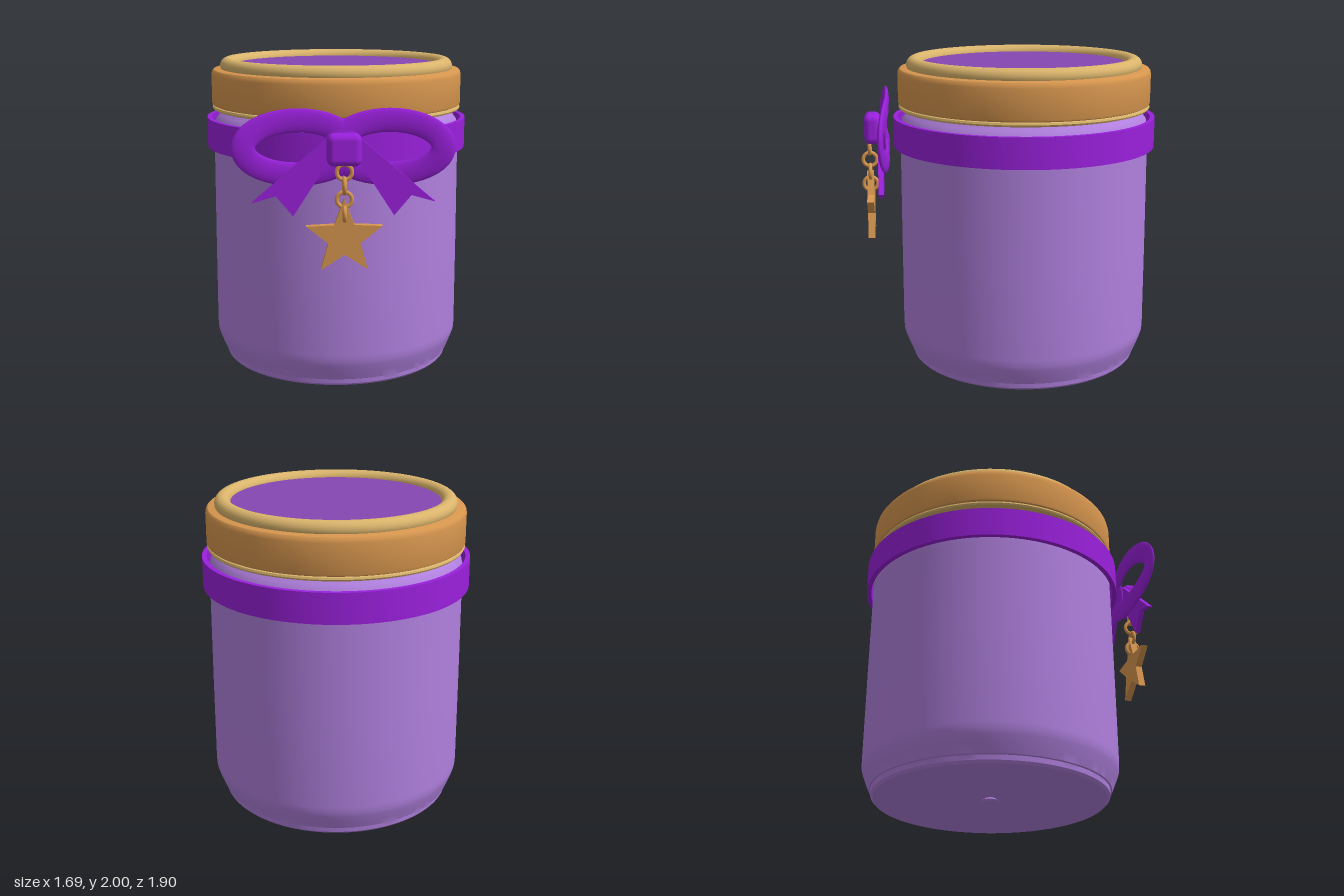
import * as THREE from 'three';
import { toCreasedNormals } from 'three/addons/utils/BufferGeometryUtils.js';
import { RoundedBoxGeometry } from 'three/addons/geometries/RoundedBoxGeometry.js';
import { ParametricGeometry } from 'three/addons/geometries/ParametricGeometry.js';

const JAR_Z = -0.105;

function material(name, color) {
  const m = new THREE.MeshStandardMaterial({ color });
  m.name = name;
  return m;
}

function add(parent, name, geometry, mat, x = 0, y = 0, z = 0) {
  const mesh = new THREE.Mesh(geometry, mat);
  mesh.name = name;
  mesh.position.set(x, y, z);
  parent.add(mesh);
  return mesh;
}

// Turned part; profile runs bottom to top on the outside
function turned(points, crease = 0.6) {
  const profile = points.map(([r, y]) => new THREE.Vector2(r, y));
  return toCreasedNormals(new THREE.LatheGeometry(profile, 96), crease);
}

function plate(points, depth) {
  const shape = new THREE.Shape(points.map(([x, y]) => new THREE.Vector2(x, y)));
  return new THREE.ExtrudeGeometry(shape, { depth, bevelEnabled: false });
}

// Flat ribbon swept around an ellipse, gently waving in z
function bowLoop() {
  return new ParametricGeometry((u, v, p) => {
    const t = u * Math.PI * 2, a = v * Math.PI * 2;
    const n = new THREE.Vector2(Math.cos(t) * 0.157, Math.sin(t) * 0.315).normalize();
    const w = 0.07 * Math.cos(a);
    p.set(
      0.312 * Math.cos(t) + n.x * w,
      0.157 * Math.sin(t) + n.y * w,
      0.018 * Math.sin(a) + 0.012 * Math.cos(2 * t)
    );
  }, 72, 16);
}

export function createModel() {
  const glass = material('lilac glass', 0xb080de);
  const ribbon = material('violet ribbon', 0x9a20dc);
  const bronze = material('bronze', 0xd8974f);
  const gold = material('pale gold', 0xdab46c);
  const inset = material('purple inset', 0x8647b2);

  const model = new THREE.Group();
  model.name = 'giftJar';
  const jar = new THREE.Group();
  jar.name = 'jar';
  jar.position.z = JAR_Z;
  model.add(jar);

  // Body with a rounded foot, tapered base and shoulder
  add(jar, 'jarBody', turned([
    [0, 0], [0.05, 0.003], [0.06, 0.012], [0.03, 0.03], [0.2, 0.025], [0.66, 0.012],
    [0.7, 0.005], [0.73, 0.01], [0.745, 0.025], [0.748, 0.055], [0.757, 0.06],
    [0.778, 0.11], [0.797, 0.16], [0.806, 0.19], [0.808, 0.23], [0.806, 0.8], [0.802, 1.4],
    [0.8, 1.56], [0.79, 1.6], [0.76, 1.64], [0.72, 1.67], [0.7, 1.7], [0.7, 1.75],
  ]), glass);

  // Lid
  add(jar, 'lidLip', turned([
    [0.69, 1.69], [0.69, 1.672], [0.79, 1.67], [0.804, 1.674], [0.81, 1.684],
    [0.806, 1.695], [0.79, 1.702],
  ]), gold);
  add(jar, 'lidBand', turned([
    [0.69, 1.698], [0.795, 1.698], [0.808, 1.704], [0.812, 1.715], [0.812, 1.895],
    [0.808, 1.915], [0.798, 1.927], [0.78, 1.932], [0, 1.932],
  ]), bronze);
  const rim = add(jar, 'lidRim', new THREE.TorusGeometry(0.705, 0.05, 24, 96), gold, 0, 1.95);
  rim.rotation.x = Math.PI / 2;
  add(jar, 'lidInset', new THREE.CylinderGeometry(0.67, 0.67, 0.03, 96), inset, 0, 1.942);

  // Ribbon band around the neck
  add(jar, 'neckRibbon', turned([
    [0.815, 1.62], [0.815, 1.43], [0.845, 1.43], [0.845, 1.62], [0.815, 1.62],
  ]), ribbon);

  // Bow
  const bow = new THREE.Group();
  bow.name = 'bow';
  model.add(bow);
  for (const [side, s] of [['left', 1], ['right', -1]]) {
    const loop = add(bow, side + 'BowLoop', bowLoop(), ribbon, s * 0.268, 1.547, 0.798);
    loop.rotation.y = -s * 0.03;
    add(bow, side + 'BowTail', plate([
      [s * 0.06, 1.6], [s * 0.09, 1.61], [s * 0.535, 1.23], [s * 0.395, 1.27],
      [s * 0.295, 1.15], [s * 0.07, 1.5],
    ], 0.032), ribbon, 0, 0, 0.806);
  }
  add(bow, 'bowKnot', new RoundedBoxGeometry(0.2, 0.19, 0.105, 5, 0.04), ribbon, 0, 1.547, 0.875);

  // Chain of alternating links
  const charm = new THREE.Group();
  charm.name = 'charm';
  model.add(charm);
  for (let i = 0; i < 4; i++) {
    const link = add(charm, 'chainLink', new THREE.TorusGeometry(0.044, 0.012, 12, 32), bronze,
      0, 1.42 - i * 0.08, 0.897);
    link.rotation.y = (i % 2) * Math.PI / 2;
  }

  // Star pendant
  const star = [];
  for (let i = 0; i < 10; i++) {
    const a = Math.PI / 2 + i * Math.PI / 5, r = i % 2 ? 0.098 : 0.232;
    star.push([Math.cos(a) * r, Math.sin(a) * r]);
  }
  add(charm, 'starPendant', plate(star, 0.044), bronze, 0, 1.035, 0.875);

  return model;
}
